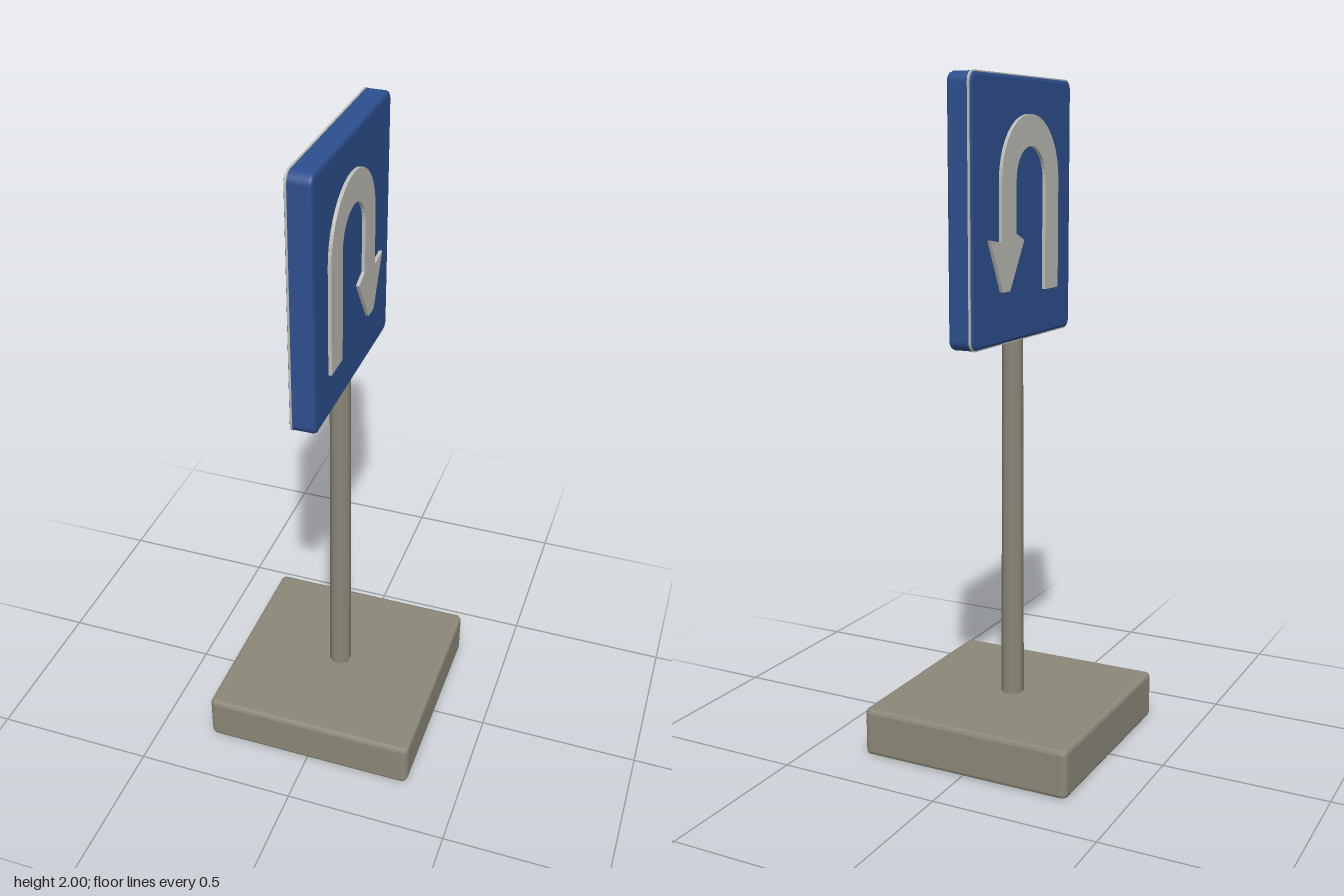
import * as THREE from 'three';

const mat = (name, color) => {
  const m = new THREE.MeshStandardMaterial({ color });
  m.name = name;
  return m;
};

// Rounded rectangle outline centred on the origin
function roundedRect(w, h, r) {
  const s = new THREE.Shape();
  const x = w / 2, y = h / 2;
  s.absarc(x - r, y - r, r, 0, Math.PI / 2);
  s.absarc(-x + r, y - r, r, Math.PI / 2, Math.PI);
  s.absarc(-x + r, -y + r, r, Math.PI, Math.PI * 1.5);
  s.absarc(x - r, -y + r, r, Math.PI * 1.5, Math.PI * 2);
  return s;
}

// Bevelled slab of exact size w x h x d, centred on the origin
function slab(w, h, d, r, bevel) {
  const geo = new THREE.ExtrudeGeometry(roundedRect(w - 2 * bevel, h - 2 * bevel, r), {
    depth: d - 2 * bevel, bevelEnabled: true, bevelSize: bevel,
    bevelThickness: bevel, bevelSegments: 2, curveSegments: 4,
  });
  return geo.translate(0, 0, -d / 2 + bevel);
}

export function createModel() {
  const model = new THREE.Group();
  const stone = mat('warm grey', 0x8b8778);
  const blue = mat('sign blue', 0x2d4f8e);
  const white = mat('off white', 0xbdbcb4);

  const add = (parent, name, geo, material) => {
    const mesh = new THREE.Mesh(geo, material);
    mesh.name = name;
    parent.add(mesh);
    return mesh;
  };

  // Square foot and post
  const base = add(model, 'base', slab(0.667, 0.667, 0.145, 0.008, 0.012), stone);
  base.rotation.x = -Math.PI / 2;
  base.position.y = 0.0725;
  const post = add(model, 'post', new THREE.CylinderGeometry(0.031, 0.035, 1.14, 8), stone);
  post.rotation.y = Math.PI / 8;
  post.position.y = 0.7;

  // Sign head, drawn in its own plane and turned to face sideways
  const sign = new THREE.Group();
  sign.name = 'sign';
  sign.rotation.y = Math.PI / 2;
  model.add(sign);
  const panel = add(sign, 'panel', slab(0.64, 0.75, 0.076, 0.02, 0.01), blue);
  panel.position.y = 1.625;

  // Thin pale trim round the edge near the far face
  const ring = roundedRect(0.643, 0.753, 0.03);
  ring.holes.push(roundedRect(0.63, 0.74, 0.025));
  const trim = add(sign, 'edgeTrim',
    new THREE.ExtrudeGeometry(ring, { depth: 0.006, bevelEnabled: false, curveSegments: 4 }), white);
  trim.position.set(0, 1.625, -0.033);

  // U-turn arrow, standing slightly proud of both faces
  const cx = -0.025, cy = 1.71;
  const arrow = new THREE.Shape();
  arrow.moveTo(-0.21, 1.385);
  arrow.lineTo(-0.21, cy);
  arrow.absarc(cx, cy, 0.185, Math.PI, 0, true);
  arrow.lineTo(0.16, 1.54);
  arrow.lineTo(0.23, 1.55);
  arrow.lineTo(0.155, 1.4);
  arrow.lineTo(0.11, 1.4);
  arrow.lineTo(0.02, 1.54);
  arrow.lineTo(0.07, 1.56);
  arrow.lineTo(0.07, cy);
  arrow.absarc(cx, cy, 0.095, 0, Math.PI, false);
  arrow.lineTo(-0.12, 1.385);
  arrow.closePath();
  const arrowGeo = new THREE.ExtrudeGeometry(arrow, { depth: 0.096, bevelEnabled: false, curveSegments: 10 });
  add(sign, 'arrow', arrowGeo.translate(0, 0, -0.048), white);

  return model;
}
